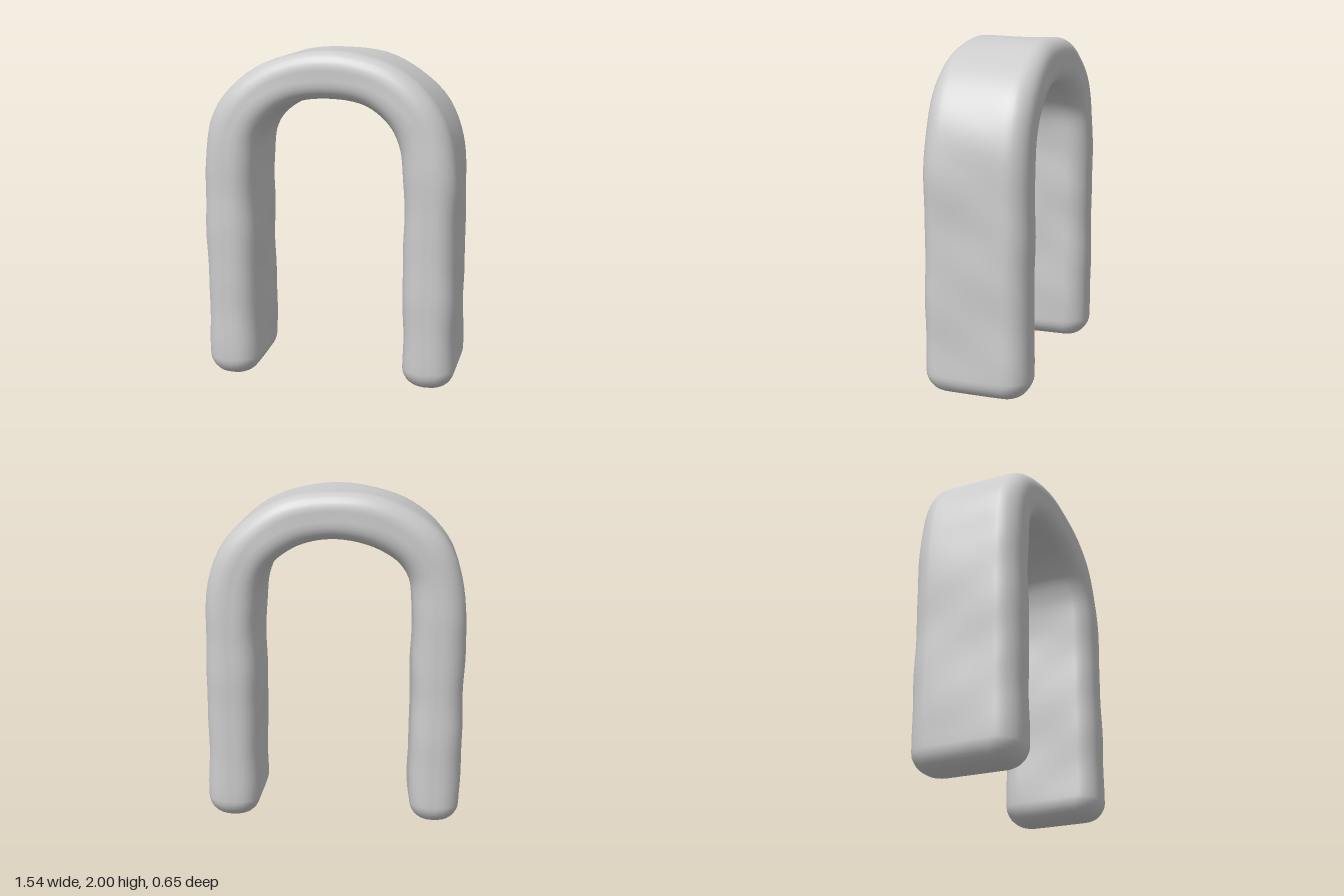
import * as THREE from 'three';

// Outline of a rounded rectangle, counter-clockwise, as [n, z] pairs
function roundedSection(halfN, halfZ, radius, steps = 7, sideSteps = 6) {
  const pts = [];
  const corners = [[1, 1], [-1, 1], [-1, -1], [1, -1]];
  corners.forEach(([sn, sz], q) => {
    for (let i = 0; i <= steps; i++) {
      const a = (q + i / steps) * Math.PI / 2;
      pts.push([sn * (halfN - radius) + radius * Math.cos(a), sz * (halfZ - radius) + radius * Math.sin(a)]);
    }
    // points along the flat side towards the next corner
    const a = (q + 1) * Math.PI / 2;
    const [nn, nz] = corners[(q + 1) % 4];
    const from = pts[pts.length - 1];
    const to = [nn * (halfN - radius) + radius * Math.cos(a), nz * (halfZ - radius) + radius * Math.sin(a)];
    for (let i = 1; i < sideSteps; i++) {
      const t = i / sideSteps;
      pts.push([from[0] + (to[0] - from[0]) * t, from[1] + (to[1] - from[1]) * t]);
    }
  });
  return pts;
}

// Gentle hand-worked unevenness
const wobble = (x, y, z) =>
  0.003 * (Math.sin(9 * y + 5 * z + 2 * x) + Math.sin(17 * y - 11 * z + 1.3) * 0.6 + Math.sin(13 * x + 8 * z));

function archGeometry() {
  // Centre line: up the right leg, over the top, down the left leg
  const path = new THREE.CatmullRomCurve3([
    [-0.605, 0], [-0.607, 0.45], [-0.61, 0.9], [-0.607, 1.3], [-0.57, 1.54], [-0.465, 1.7], [-0.27, 1.82],
    [0, 1.862], [0.27, 1.815], [0.465, 1.68], [0.56, 1.51], [0.597, 1.28], [0.6, 0.9], [0.605, 0.45], [0.61, 0.015],
  ].map(([x, y]) => new THREE.Vector3(x, y, 0)), false, 'centripetal');
  path.arcLengthDivisions = 800;
  const length = path.getLength();

  // Stations along the path, with sections shrinking into rounded feet
  const foot = 0.115, capSteps = 8, bodySteps = 90;
  const cap = [];
  for (let i = 0; i < capSteps; i++) {
    const a = i / capSteps * Math.PI / 2;
    cap.push({ u: foot * (1 - Math.cos(a)) / length, inset: foot * (1 - Math.sin(a)) });
  }
  const body = [];
  for (let i = 0; i <= bodySteps; i++) {
    body.push({ u: (foot + (length - 2 * foot) * i / bodySteps) / length, inset: 0 });
  }
  const stations = [...cap, ...body, ...cap.map(({ u, inset }) => ({ u: 1 - u, inset })).reverse()];

  const positions = [], index = [];
  let ringSize = 0;
  for (const { u, inset } of stations) {
    const p = path.getPointAt(u), t = path.getTangentAt(u);
    const k = Math.min(1, (p.x / 0.61) ** 2);
    const front = 0.275 + k * (p.x < 0 ? 0.045 : 0.022);
    const back = -0.31 - k * (p.x < 0 ? 0 : 0.015);
    const halfN = 0.136 + 0.018 * k - inset;
    const halfZ = (front - back) / 2 - inset;
    const radius = Math.min(0.095 + 0.03 * k, halfN * 0.85);
    const section = roundedSection(halfN, halfZ, radius);
    ringSize = section.length;
    for (const [n, dz] of section) {
      const x = p.x - t.y * n, y = p.y + t.x * n, z = (front + back) / 2 + dz;
      const w = 1 + wobble(x, y, z) / 0.154;
      positions.push(p.x - t.y * n * w, Math.max(0, p.y + t.x * n * w), z + Math.sign(dz) * (w - 1) * 0.1 * Math.abs(dz / halfZ));
    }
  }

  // Skin between neighbouring sections
  for (let i = 0; i < stations.length - 1; i++) {
    for (let j = 0; j < ringSize; j++) {
      const a = i * ringSize + j, b = i * ringSize + (j + 1) % ringSize;
      index.push(a, b, a + ringSize, b, b + ringSize, a + ringSize);
    }
  }
  // Soles of the two feet
  [0, 1].forEach((end) => {
    const p = path.getPointAt(end);
    const centre = positions.length / 3, first = end * (stations.length - 1) * ringSize;
    positions.push(p.x, p.y, 0);
    for (let j = 0; j < ringSize; j++) {
      const a = first + j, b = first + (j + 1) % ringSize;
      index.push(centre, ...(end ? [a, b] : [b, a]));
    }
  });

  const geometry = new THREE.BufferGeometry();
  geometry.setAttribute('position', new THREE.Float32BufferAttribute(positions, 3));
  geometry.setIndex(index);
  geometry.computeVertexNormals();
  return geometry;
}

export function createModel() {
  const group = new THREE.Group();
  group.name = 'archway';
  const arch = new THREE.Mesh(archGeometry(), new THREE.MeshStandardMaterial({ color: 0xcccccc }));
  arch.name = 'arch';
  group.add(arch);
  return group;
}
